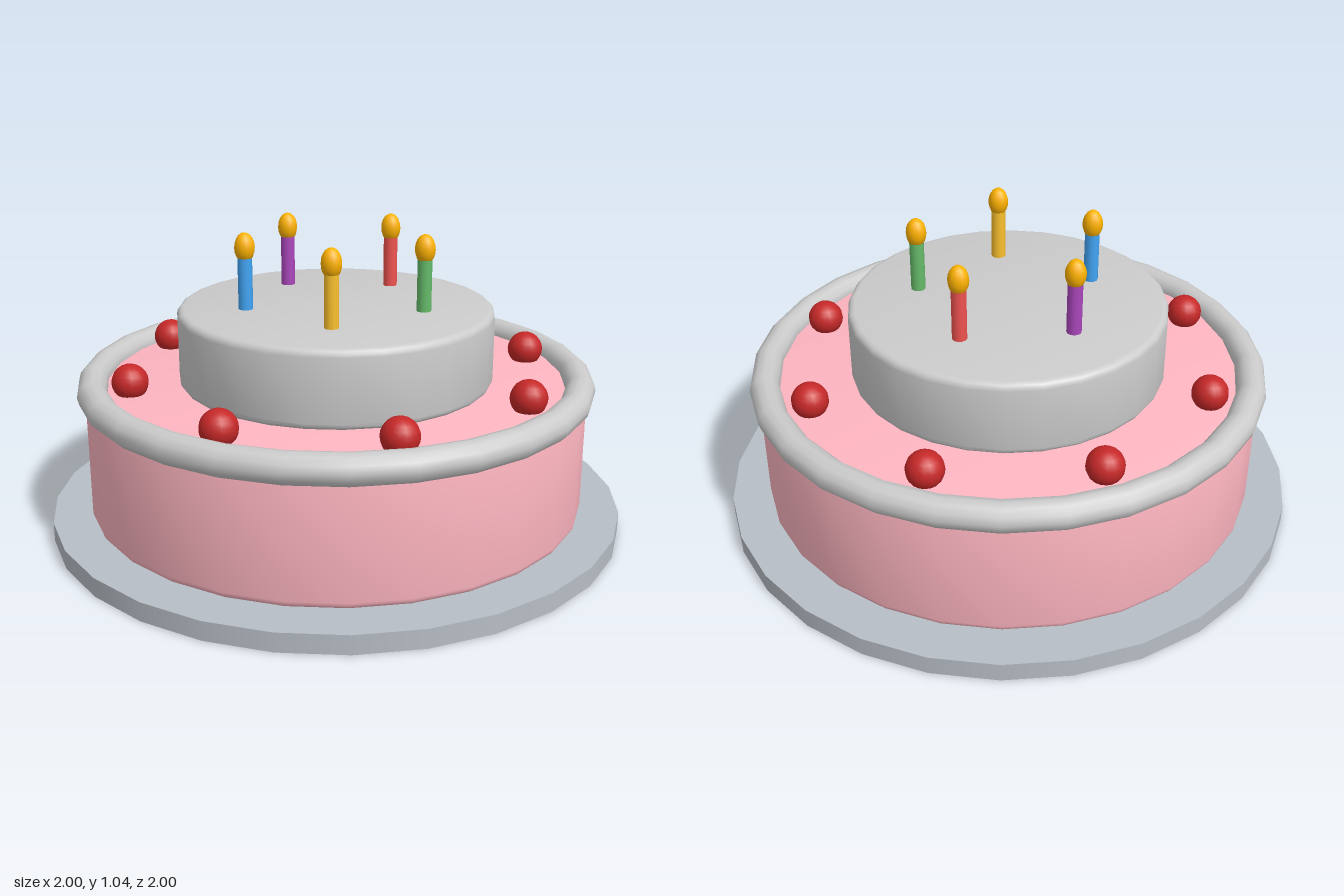
import * as THREE from 'three';
import { toCreasedNormals } from 'three/addons/utils/BufferGeometryUtils.js';

const SIDES = 28;

function mesh(name, geometry, color) {
  const m = new THREE.Mesh(geometry, new THREE.MeshStandardMaterial({ color }));
  m.name = name;
  return m;
}

// Solid round tier with rounded top and bottom edges
function tierGeometry(radius, bottom, top, bevel) {
  const points = [new THREE.Vector2(0, bottom)];
  const arc = (cy, start) => {
    for (let i = 0; i <= 4; i++) {
      const a = start + (i / 4) * Math.PI / 2;
      points.push(new THREE.Vector2(radius - bevel + bevel * Math.cos(a), cy + bevel * Math.sin(a)));
    }
  };
  arc(bottom + bevel, -Math.PI / 2);
  arc(top - bevel, 0);
  points.push(new THREE.Vector2(0, top));
  return toCreasedNormals(new THREE.LatheGeometry(points, SIDES), 0.5);
}

export function createModel() {
  const cake = new THREE.Group();
  cake.name = 'cake';

  // Serving plate
  const plate = mesh('plate', new THREE.CylinderGeometry(1, 1, 0.065, SIDES), 0xb8bec6);
  plate.position.y = 0.0325;
  cake.add(plate);

  // Two tiers
  cake.add(mesh('lowerTier', tierGeometry(0.865, 0.065, 0.51, 0.025), 0xffb6c1));
  cake.add(mesh('upperTier', tierGeometry(0.545, 0.505, 0.77, 0.025), 0xcccccc));

  // Icing ring around the top edge of the lower tier
  const icing = mesh('icingRing', new THREE.TorusGeometry(0.842, 0.051, 12, SIDES), 0xcccccc);
  icing.rotation.x = Math.PI / 2;
  icing.position.y = 0.508;
  cake.add(icing);

  // Eight cherries on the ledge
  const cherryGeometry = new THREE.SphereGeometry(0.062, 16, 12);
  for (let i = 0; i < 8; i++) {
    const a = (i / 8) * Math.PI * 2;
    const cherry = mesh('cherry', cherryGeometry, 0xc62828);
    cherry.position.set(0.715 * Math.cos(a), 0.55, 0.715 * Math.sin(a));
    cake.add(cherry);
  }

  // Five coloured candles with flames
  const stickGeometry = new THREE.CylinderGeometry(0.025, 0.025, 0.18, 12);
  const flameGeometry = new THREE.SphereGeometry(0.035, 12, 10).scale(1, 1.45, 1);
  [0x66bb6a, 0xfbc02d, 0x42a5f5, 0xab47bc, 0xef5350].forEach((color, i) => {
    const a = (36 + i * 72) * Math.PI / 180;
    const candle = new THREE.Group();
    candle.name = 'candle';
    const stick = mesh('candleStick', stickGeometry, color);
    stick.position.y = 0.09;
    const flame = mesh('flame', flameGeometry, 0xffb300);
    flame.position.y = 0.21;
    candle.add(stick, flame);
    candle.position.set(0.315 * Math.cos(a), 0.775, 0.315 * Math.sin(a));
    cake.add(candle);
  });

  return cake;
}
